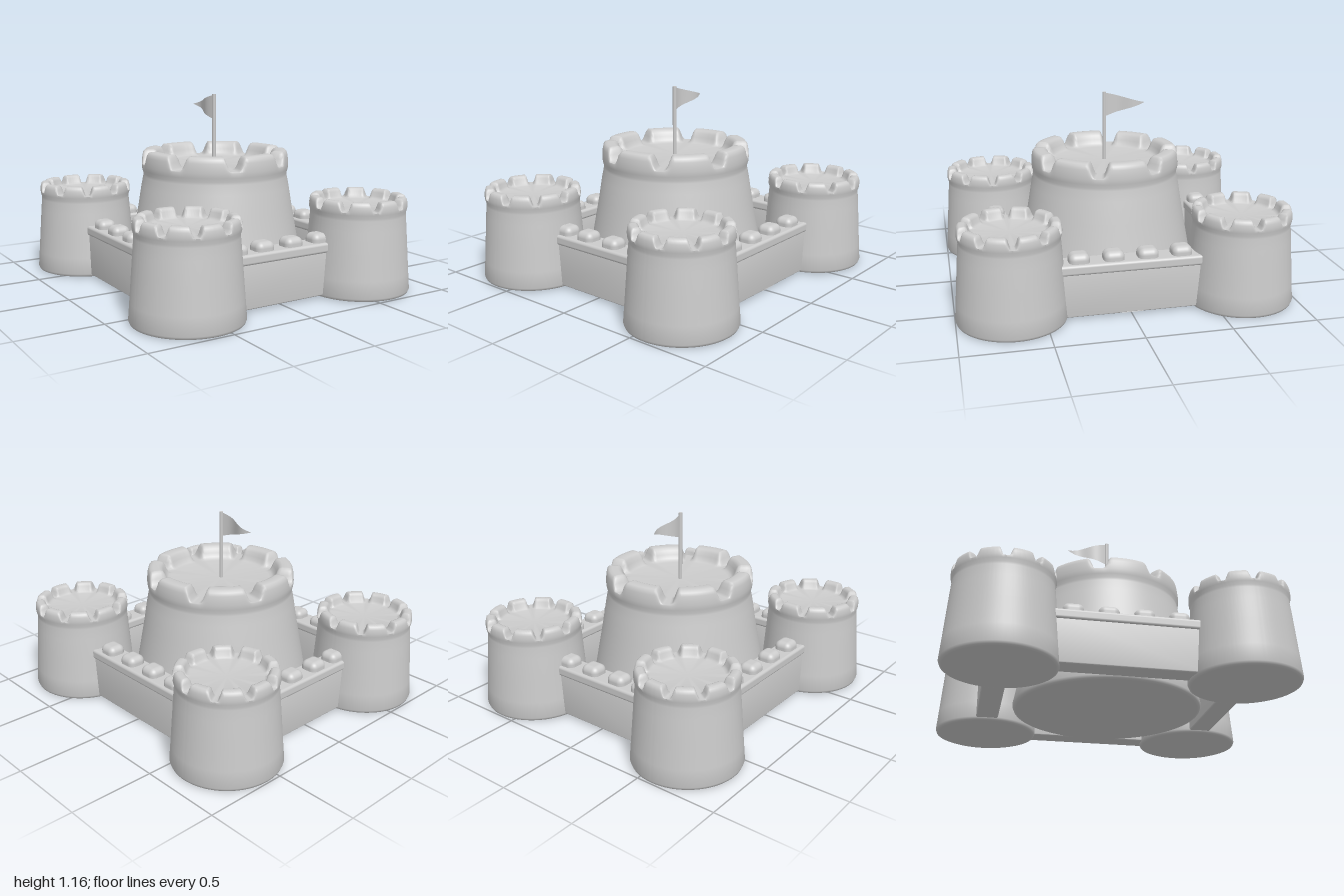
import * as THREE from 'three';
import { mergeVertices, toCreasedNormals } from 'three/addons/utils/BufferGeometryUtils.js';
import { RoundedBoxGeometry } from 'three/addons/geometries/RoundedBoxGeometry.js';

const material = new THREE.MeshStandardMaterial({ color: 0xcccccc });
const clothMaterial = new THREE.MeshStandardMaterial({ color: 0xcccccc, side: THREE.DoubleSide });

function addMesh(parent, name, geometry, x = 0, y = 0, z = 0, mat = material) {
  const mesh = new THREE.Mesh(geometry, mat);
  mesh.name = name;
  mesh.position.set(x, y, z);
  parent.add(mesh);
  return mesh;
}

// Revolved tower whose rim is lowered to the floor at evenly spaced notches
function towerGeometry(profile, floorY, merlons, phase, notchHalf, merlonEdge) {
  const geo = new THREE.LatheGeometry(profile.map(([r, y]) => new THREE.Vector2(r, y)), 240);
  const pos = geo.attributes.position;
  const pitch = 360 / merlons;
  for (let i = 0; i < pos.count; i++) {
    const x = pos.getX(i), y = pos.getY(i), z = pos.getZ(i);
    if (y <= floorY) continue;
    const angle = THREE.MathUtils.radToDeg(Math.atan2(x, z)) - phase;
    const fromMerlon = Math.abs(angle - Math.round(angle / pitch) * pitch);
    const rise = THREE.MathUtils.smoothstep(pitch / 2 - fromMerlon, notchHalf, merlonEdge);
    pos.setY(i, floorY + (y - floorY) * rise);
  }
  geo.deleteAttribute('uv');
  geo.deleteAttribute('normal');
  return toCreasedNormals(mergeVertices(geo, 1e-5), 1.1);
}

// Straight wall along x with a lip and merlons, optionally pierced by an arched door
function createWall(name, halfLength, merlonXs, hasDoor) {
  const wall = new THREE.Group();
  wall.name = name;
  const shape = new THREE.Shape();
  shape.moveTo(-halfLength, 0.015).lineTo(halfLength, 0.015);
  if (hasDoor) {
    // The doorway is open down to the ground
    shape.holes.push(new THREE.Path()
      .moveTo(0.055, 0.025).lineTo(0.055, 0.145)
      .absarc(0, 0.145, 0.055, 0, Math.PI, false)
      .lineTo(-0.055, 0.025).closePath());
  }
  shape.lineTo(halfLength, 0.3).lineTo(-halfLength, 0.3).closePath();
  const body = new THREE.ExtrudeGeometry(shape, {
    depth: 0.114, bevelEnabled: true, bevelThickness: 0.01, bevelSize: 0.008,
    bevelOffset: -0.008, bevelSegments: 3, curveSegments: 20,
  });
  body.translate(0, 0, -0.057);
  addMesh(wall, 'wallBody', toCreasedNormals(body, 0.7));
  addMesh(wall, 'wallLip', new RoundedBoxGeometry(halfLength * 2, 0.06, 0.152, 4, 0.016), 0, 0.3, 0);
  for (const x of merlonXs) {
    addMesh(wall, 'wallMerlon', new RoundedBoxGeometry(0.12, 0.13, 0.112, 5, 0.036), x, 0.318, 0);
  }
  return wall;
}

export function createModel() {
  const castle = new THREE.Group();
  castle.name = 'castle';

  // Central keep
  const keepProfile = [
    [0, 0], [0.545, 0], [0.56, 0.006], [0.567, 0.022], [0.548, 0.12], [0.515, 0.3], [0.484, 0.47],
    [0.463, 0.6], [0.45, 0.665], [0.449, 0.682], [0.456, 0.705], [0.459, 0.735], [0.457, 0.765],
    [0.454, 0.79], [0.449, 0.81], [0.438, 0.822], [0.42, 0.825], [0.385, 0.825], [0.37, 0.82],
    [0.358, 0.805], [0.348, 0.78], [0.338, 0.757], [0.326, 0.744], [0.308, 0.74], [0, 0.74],
  ];
  addMesh(castle, 'keep', towerGeometry(keepProfile, 0.74, 8, 6, 3, 9), -0.005, 0, 0.01);

  // Four corner towers
  const cornerProfile = [
    [0, 0], [0.3, 0], [0.314, 0.005], [0.32, 0.02], [0.312, 0.12], [0.3, 0.28], [0.291, 0.4],
    [0.285, 0.47], [0.285, 0.485], [0.291, 0.505], [0.293, 0.525], [0.291, 0.55], [0.286, 0.568],
    [0.276, 0.576], [0.266, 0.577], [0.247, 0.577], [0.236, 0.572], [0.229, 0.558],
    [0.222, 0.535], [0.214, 0.522], [0.202, 0.518], [0, 0.518],
  ];
  const cornerGeometry = towerGeometry(cornerProfile, 0.518, 10, -2, 2.5, 8);
  for (const sx of [-1, 1]) {
    for (const sz of [-1, 1]) addMesh(castle, 'cornerTower', cornerGeometry, sx * 0.593, 0, sz * 0.68);
  }

  // Curtain walls between the towers; the doorway is in the left one
  const endMerlons = [-0.285, -0.11, 0.09, 0.285];
  const sideMerlons = [-0.3, -0.1, 0.1, 0.3];
  const front = createWall('frontWall', 0.4, endMerlons, false);
  front.position.z = 0.682;
  const back = createWall('backWall', 0.4, endMerlons, false);
  back.position.z = -0.69;
  const left = createWall('leftWall', 0.46, sideMerlons, true);
  left.position.x = 0.637;
  left.rotation.y = Math.PI / 2;
  const right = createWall('rightWall', 0.46, sideMerlons, false);
  right.position.x = -0.627;
  right.rotation.y = Math.PI / 2;
  castle.add(front, back, left, right);

  // Flagpole
  addMesh(castle, 'flagpole', new THREE.CylinderGeometry(0.012, 0.012, 0.445, 16), -0.012, 0.9425, 0.01);

  // Waving pennant tapering towards the back
  const flag = new THREE.PlaneGeometry(1, 1, 24, 2);
  const p = flag.attributes.position;
  for (let i = 0; i < p.count; i++) {
    const t = p.getX(i) + 0.5;
    const height = 0.15 * (1 - t) + 0.002;
    p.setXYZ(i, -0.019 * Math.sin(t * Math.PI * 2) * (0.6 + 0.4 * t), 1.085 + 0.005 * t + p.getY(i) * height, -0.255 * t);
  }
  flag.computeVertexNormals();
  addMesh(castle, 'flag', flag, -0.012, 0, 0.01, clothMaterial);

  return castle;
}
